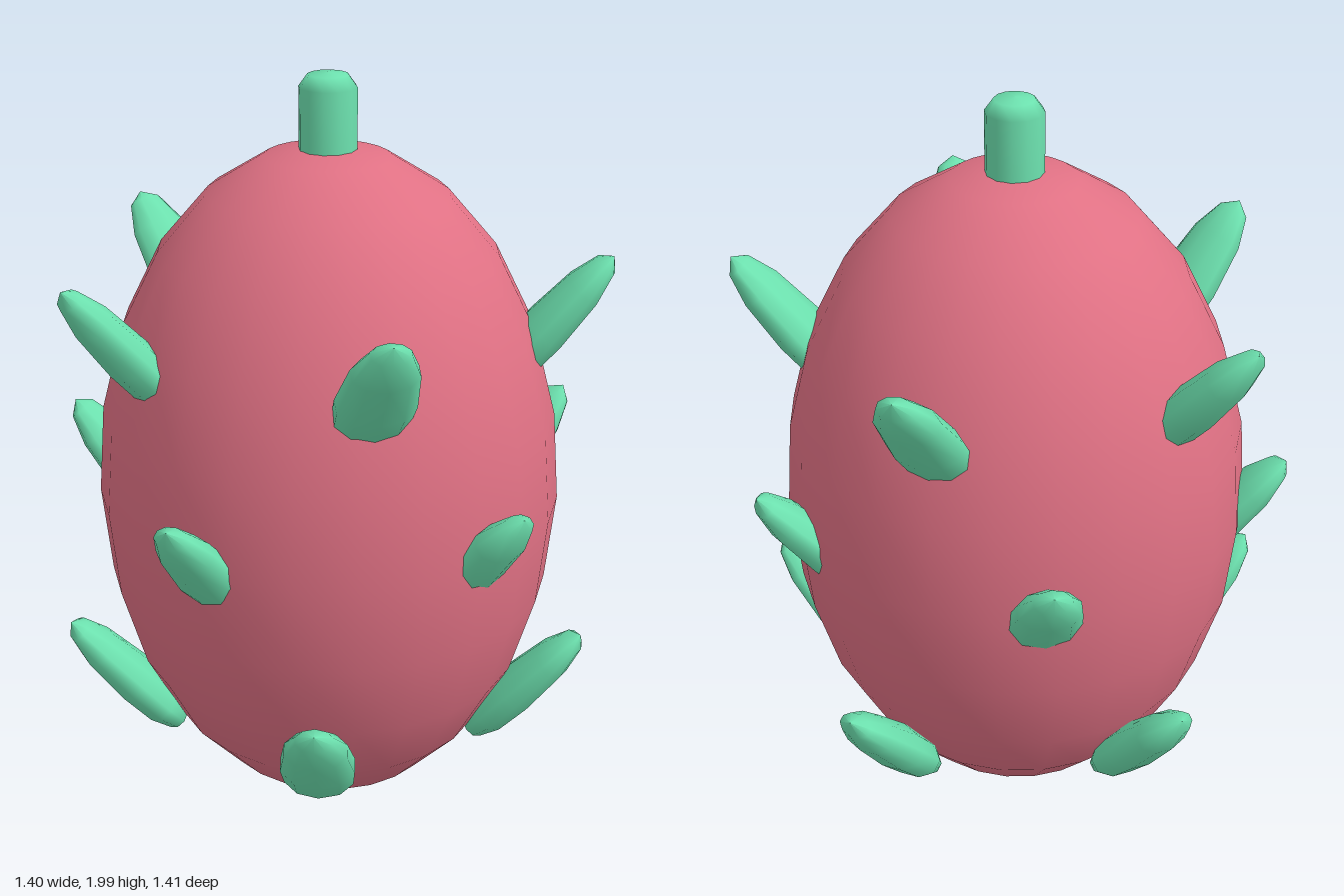
import * as THREE from 'three';

const rad = THREE.MathUtils.degToRad;
const points = (list) => list.map(([r, y]) => new THREE.Vector2(r, y));

export function createModel() {
  const model = new THREE.Group();
  const skin = new THREE.MeshStandardMaterial({ color: 0xe07184 });
  skin.name = 'pinkSkin';
  const green = new THREE.MeshStandardMaterial({ color: 0x6ce0ae });
  green.name = 'scaleGreen';

  // Egg-shaped fruit body
  const bodyGeometry = new THREE.SphereGeometry(1, 24, 12);
  bodyGeometry.scale(0.61, 0.91, 0.59);
  const body = new THREE.Mesh(bodyGeometry, skin);
  body.name = 'fruitBody';
  body.position.y = 0.92;
  model.add(body);

  // Short stem with a rounded top
  const stem = new THREE.Mesh(new THREE.LatheGeometry(points([
    [0.072, 1.74], [0.072, 1.965], [0.05, 1.995], [0, 2],
  ]), 12), green);
  stem.name = 'stem';
  model.add(stem);

  // Flattened leaf scale: tip at the origin, leaning up and outwards along +z
  const scaleGeometry = new THREE.LatheGeometry(points([
    [0, -0.46], [0.064, -0.43], [0.093, -0.36], [0.098, -0.25],
    [0.081, -0.11], [0.048, -0.03], [0, 0],
  ]), 10);
  scaleGeometry.scale(1, 1, 0.62);
  scaleGeometry.rotateX(rad(39));
  scaleGeometry.translate(0, 0, 0.705);

  // Three staggered rings of five scales
  const rings = [
    { name: 'lowerScale', tipY: 0.59, start: 54 },
    { name: 'middleScale', tipY: 1.08, start: 11 },
    { name: 'upperScale', tipY: 1.57, start: 40 },
  ];
  for (const { name, tipY, start } of rings) {
    for (let i = 0; i < 5; i++) {
      const leaf = new THREE.Mesh(scaleGeometry, green);
      leaf.name = name;
      leaf.position.y = tipY;
      leaf.rotation.y = rad(90 - start - i * 72);
      model.add(leaf);
    }
  }
  return model;
}
